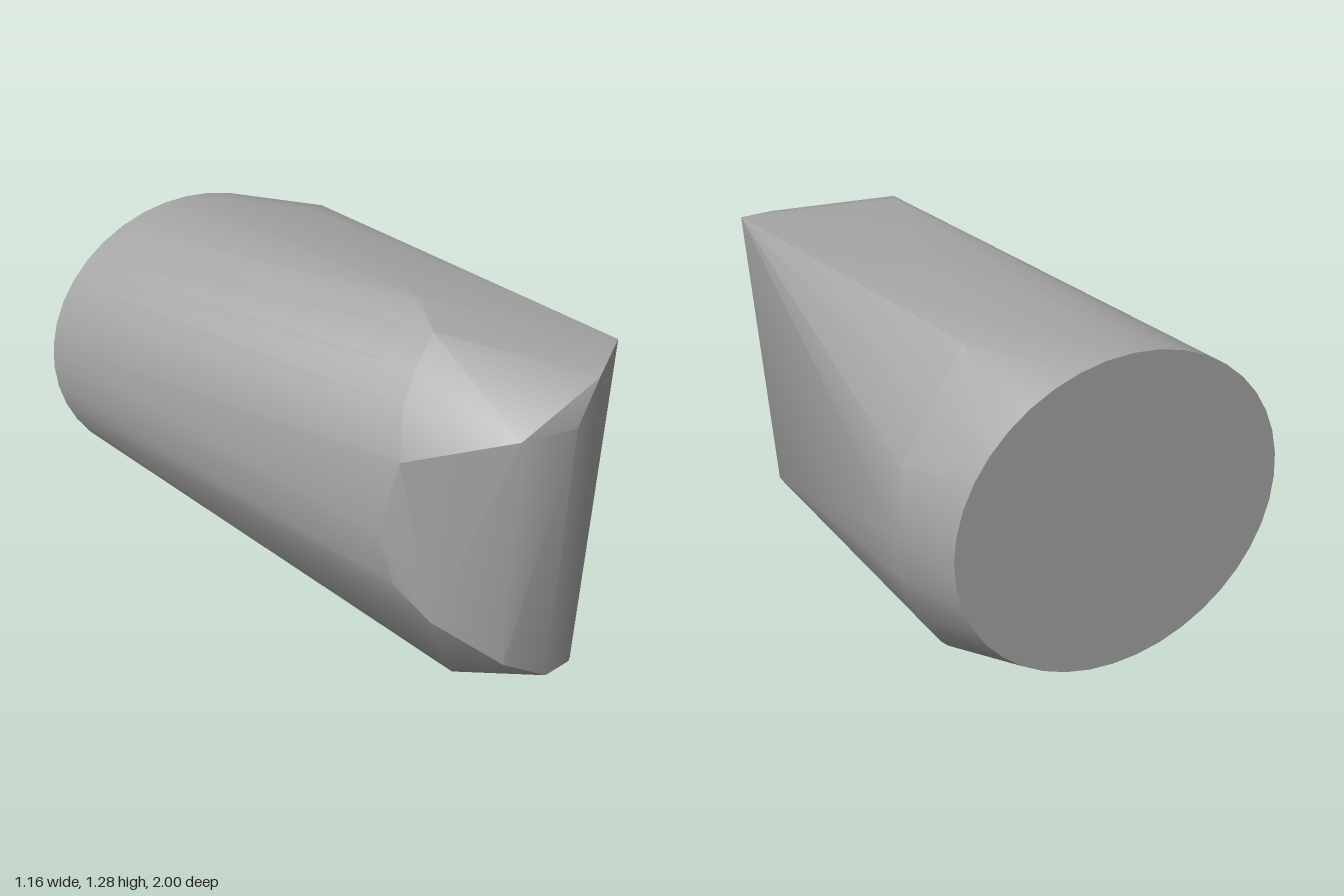
import * as THREE from 'three';
import { ConvexGeometry } from 'three/addons/geometries/ConvexGeometry.js';
import { toCreasedNormals } from 'three/addons/utils/BufferGeometryUtils.js';

// Corners of the shaped front end and the worn sides, each as x, y, z
const nose = [
  [0.2, 1.18, 0.9], [0.02, 1.15, 0.975], [-0.1, 1.04, 1], [-0.28, 1.045, 0.945],
  [0.085, 0.045, 0.92], [0.03, 0.085, 0.955], [-0.13, 0.14, 0.985], [-0.29, 0.25, 0.94],
];
const shoulder = [
  [-0.44, 0.4, 0.77], [-0.5, 0.52, 0.67], [-0.525, 0.7, 0.63], [-0.49, 0.95, 0.68],
  [-0.42, 1.08, 0.62], [-0.35, 1.17, 0.6], [-0.26, 1.25, 0.58], [-0.18, 1.285, 0.45],
];
const flank = [
  [0.2, 1.2, -0.45], [0.3, 1.17, -0.5], [0.44, 1.01, -0.53], [0.55, 0.85, -0.52],
  [0.58, 0.65, -0.55], [0.56, 0.47, -0.55], [0.45, 0.25, -0.5],
];
const underside = [
  [0.3, 0.06, -0.4], [0.27, 0.03, -0.4], [-0.05, 0, -0.25], [-0.2, 0.015, 0.63], [-0.25, 0.05, 0.7],
];

// Slanted oval at the back
function backOval(count) {
  const points = [];
  for (let i = 0; i < count; i++) {
    const a = (i / count) * Math.PI * 2;
    points.push([-0.015 + 0.565 * Math.cos(a), 0.643 + 0.54 * Math.sin(a), -0.885 + 0.115 * Math.cos(a)]);
  }
  return points;
}

export function createModel() {
  const stone = new THREE.MeshStandardMaterial({ color: 0xa3a3a3 });
  stone.name = 'stoneGrey';

  // One solid stretched over all corners, sharp only at the strong edges
  const corners = [...nose, ...shoulder, ...flank, ...underside, ...backOval(40)]
    .map((p) => new THREE.Vector3(...p));
  const block = new THREE.Mesh(toCreasedNormals(new ConvexGeometry(corners), 0.55), stone);
  block.name = 'block';

  const model = new THREE.Group();
  model.name = 'carvedBlock';
  model.add(block);
  return model;
}
